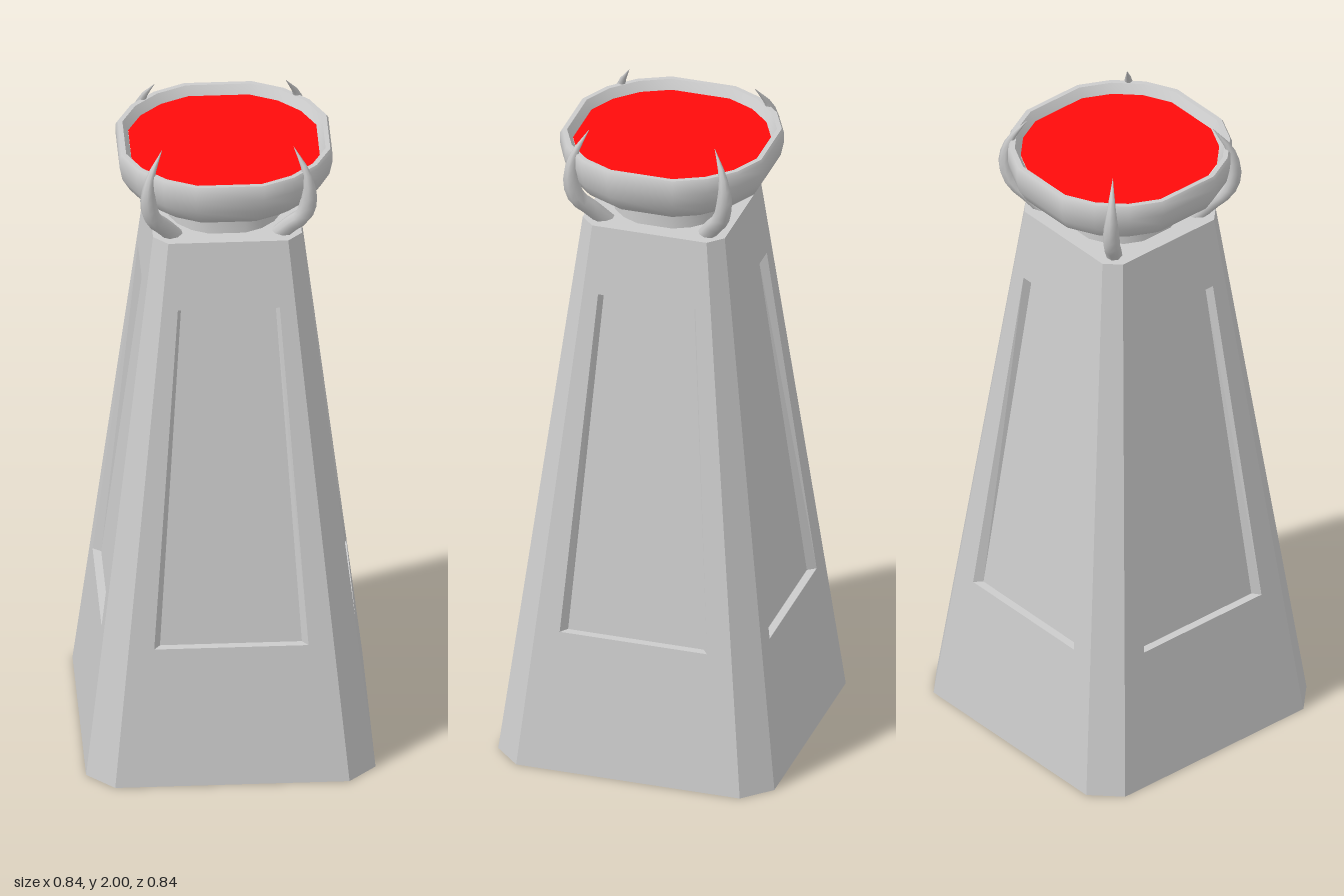
import * as THREE from 'three';
import { toCreasedNormals } from 'three/addons/utils/BufferGeometryUtils.js';

const grey = new THREE.MeshStandardMaterial({ color: 0xcccccc });
const flatGrey = new THREE.MeshStandardMaterial({ color: 0xcccccc, flatShading: true });
const red = new THREE.MeshStandardMaterial({ color: 0xff0a0a });

const H = 1.7; // pedestal height
const faceZ = (y) => 0.42 - (0.204 * y) / H; // sloping face distance from the axis
const cornerX = (y) => 0.34 - (0.166 * y) / H; // where the corner chamfer starts

function add(group, name, geometry, material) {
  const mesh = new THREE.Mesh(geometry, material);
  mesh.name = name;
  group.add(mesh);
  return mesh;
}

function quads(list) {
  const pos = [];
  for (const [a, b, c, d] of list) pos.push(...a, ...b, ...c, ...a, ...c, ...d);
  const g = new THREE.BufferGeometry();
  g.setAttribute('position', new THREE.Float32BufferAttribute(pos, 3));
  g.computeVertexNormals();
  return g;
}

// One side of the pedestal: face frame, recess walls, sunken panel and corner chamfer
function sideGeometry() {
  const ring = (y0, y1, w0, w1, inset) => [
    [-w0, y0, faceZ(y0) - inset], [w0, y0, faceZ(y0) - inset],
    [w1, y1, faceZ(y1) - inset], [-w1, y1, faceZ(y1) - inset],
  ];
  const rings = [
    ring(0, H, cornerX(0), cornerX(H), 0),
    ring(0.43, 1.49, 0.224, 0.148, 0),
    ring(0.43, 1.49, 0.206, 0.137, 0.024),
  ];
  const list = [rings[2]];
  for (let r = 0; r < 2; r++) {
    for (let i = 0; i < 4; i++) {
      const j = (i + 1) % 4;
      list.push([rings[r][i], rings[r][j], rings[r + 1][j], rings[r + 1][i]]);
    }
  }
  list.push([
    [cornerX(0), 0, faceZ(0)], [faceZ(0), 0, cornerX(0)],
    [faceZ(H), H, cornerX(H)], [cornerX(H), H, faceZ(H)],
  ]);
  return quads(list);
}

// Flat horizontal cap over a closed outline of [x, z] points
function capGeometry(points, y, up) {
  const s = up ? -1 : 1;
  const shape = new THREE.Shape(points.map(([x, z]) => new THREE.Vector2(x, s * z)));
  return new THREE.ShapeGeometry(shape).rotateX((s * Math.PI) / 2).translate(0, y, 0);
}

// Repeat a quarter of an outline around the axis
function fourfold(quarter) {
  const out = [];
  let q = quarter;
  for (let k = 0; k < 4; k++) {
    out.push(...q);
    q = q.map(([x, z]) => [z, -x]);
  }
  return out;
}

// Sixteen-sided bowl outline with flattened front, back and sides
const bowlOutline = fourfold([[0.088, 0.273], [0.17, 0.233], [0.233, 0.17], [0.273, 0.088]]);

// Lathe whose round rings are replaced by the bowl outline
function bowlGeometry(profile, crease) {
  const g = new THREE.LatheGeometry(profile.map(([r, y]) => new THREE.Vector2(r, y)), 16);
  const p = g.attributes.position;
  for (let i = 0; i < p.count; i++) {
    const [r] = profile[i % profile.length];
    const [x, z] = bowlOutline[Math.floor(i / profile.length) % 16];
    p.setXYZ(i, x * r, p.getY(i), z * r);
  }
  g.deleteAttribute('normal');
  g.deleteAttribute('uv');
  return toCreasedNormals(g, crease);
}

// Curved claw in the x = z plane, tapering to a point
function clawGeometry() {
  const path = [[0.145, 1.68], [0.185, 1.74], [0.22, 1.79], [0.234, 1.86], [0.226, 1.93], [0.191, 2.0]];
  const curve = new THREE.CatmullRomCurve3(path.map(([d, y]) => new THREE.Vector3(d, y, d)));
  const n = 12, sides = 8;
  const g = new THREE.TubeGeometry(curve, n, 0.025, sides);
  const p = g.attributes.position, v = new THREE.Vector3();
  for (let i = 0; i < p.count; i++) {
    const t = Math.floor(i / (sides + 1)) / n;
    const c = curve.getPointAt(t);
    const taper = t < 0.55 ? 1 : Math.max(0.02, (1 - t) / 0.45);
    v.fromBufferAttribute(p, i).sub(c).multiplyScalar(taper).add(c);
    p.setXYZ(i, v.x, v.y, v.z);
  }
  return g;
}

export function createModel() {
  const model = new THREE.Group();
  model.name = 'pedestalBowl';

  // Tapered pedestal with a sunken panel on each side
  const pedestal = new THREE.Group();
  pedestal.name = 'pedestal';
  model.add(pedestal);
  const side = sideGeometry();
  for (let k = 0; k < 4; k++) add(pedestal, 'pedestalSide', side, flatGrey).rotation.y = (k * Math.PI) / 2;
  const octagon = (y) => fourfold([[cornerX(y), faceZ(y)], [faceZ(y), cornerX(y)]]);
  add(pedestal, 'pedestalTop', capGeometry(octagon(H), H, true), flatGrey);
  add(pedestal, 'pedestalBase', capGeometry(octagon(0), 0, false), flatGrey);

  // Neck and bowl
  add(model, 'neck', bowlGeometry([[0.6, 1.69], [0.6, 1.77]], 0.6), grey);
  add(model, 'bowl', bowlGeometry([
    [0.55, 1.76], [0.72, 1.764], [0.88, 1.782], [1.02, 1.812], [1.1, 1.85],
    [1.13, 1.89], [1.13, 1.925], [1.11, 1.935], [1.06, 1.935], [1.0, 1.905],
  ], 0.9), grey);
  add(model, 'redFill', capGeometry(bowlOutline, 1.908, true), red);

  // Four claws gripping the bowl
  const claw = clawGeometry();
  for (let k = 0; k < 4; k++) add(model, 'claw', claw, grey).rotation.y = (k * Math.PI) / 2;

  return model;
}
